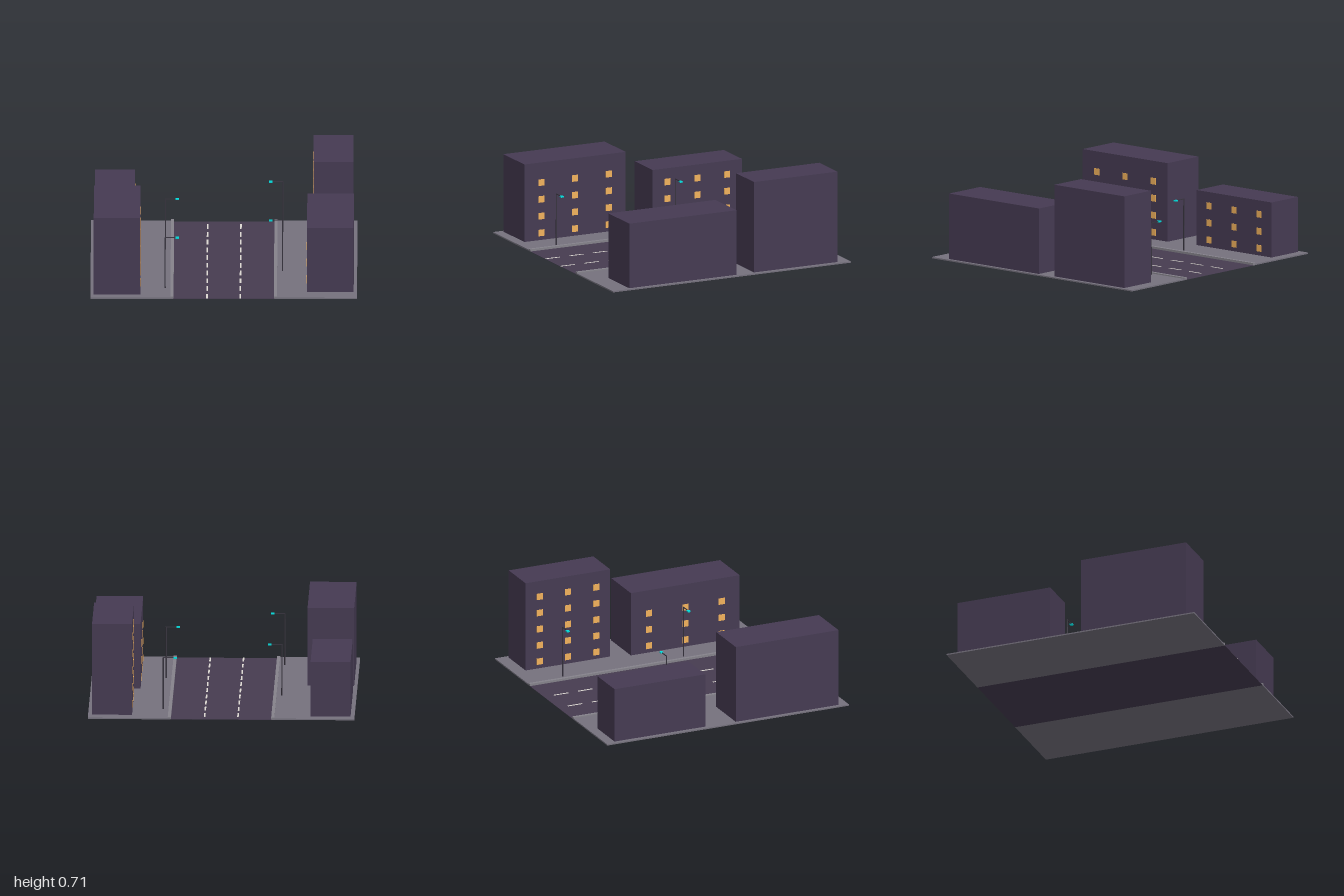
import * as THREE from 'three';

const mat = (color) => new THREE.MeshStandardMaterial({ color, flatShading: true });
const M = {
  road: mat(0x463c50),
  pavement: mat(0x75717d),
  curb: mat(0x85828b),
  wall: mat(0x453a52),
  dash: mat(0xdcd8d2),
  window: mat(0xf2b25c),
  pole: mat(0x38343f),
  lamp: mat(0x00dede),
};

// Box standing on height y, centred on x and z
function box(parent, name, material, w, h, d, x, y, z) {
  const mesh = new THREE.Mesh(new THREE.BoxGeometry(w, h, d), material);
  mesh.name = name;
  mesh.position.set(x, y + h / 2, z);
  parent.add(mesh);
  return mesh;
}

// Building block with a grid of lit windows facing the road
function building({ x, z, w, h, d, rows }) {
  const g = new THREE.Group();
  g.name = 'building';
  box(g, 'buildingBlock', M.wall, w, h, d, 0, 0, 0);
  const side = -Math.sign(x);
  for (let r = 0; r < rows; r++) {
    for (let c = -1; c <= 1; c++) {
      box(g, 'window', M.window, 0.004, 0.05, 0.05,
        side * (w / 2 + 0.001), 0.03 + r * 0.13, c * d / 3);
    }
  }
  g.position.set(x, 0.01, z);
  return g;
}

// Street lamp on the given side, its arm reaching over the road
function streetLamp(side, z) {
  const g = new THREE.Group();
  g.name = 'streetLamp';
  const pole = new THREE.Mesh(new THREE.CylinderGeometry(0.004, 0.005, 0.395, 8), M.pole);
  pole.name = 'lampPole';
  pole.position.set(side * 0.44, 0.2075, 0);
  g.add(pole);
  box(g, 'lampArm', M.pole, 0.09, 0.006, 0.006, side * 0.397, 0.402, 0);
  box(g, 'lampHead', M.lamp, 0.026, 0.01, 0.022, side * 0.35, 0.399, 0);
  g.position.z = z;
  return g;
}

export function createModel() {
  const city = new THREE.Group();
  city.name = 'cityStreet';

  // Road, pavements and curbs
  box(city, 'road', M.road, 0.76, 0.002, 2, 0, 0, 0);
  for (const s of [-1, 1]) {
    box(city, 'pavement', M.pavement, 0.62, 0.01, 2, s * 0.69, 0, 0);
    box(city, 'curb', M.curb, 0.024, 0.018, 2, s * 0.388, 0.001, 0);

    // Dashed lane markings
    for (let i = 0; i < 10; i++) {
      box(city, 'laneDash', M.dash, 0.012, 0.002, 0.12, s * 0.125, 0.002, -0.86 + i * 0.2);
    }
  }

  // Buildings
  [
    { x: -0.8, z: 0.5, w: 0.35, h: 0.6, d: 0.85, rows: 4 },
    { x: -0.82, z: -0.55, w: 0.3, h: 0.42, d: 0.75, rows: 3 },
    { x: 0.82, z: -0.55, w: 0.3, h: 0.7, d: 0.7, rows: 5 },
    { x: 0.8, z: 0.4, w: 0.35, h: 0.5, d: 0.9, rows: 3 },
  ].forEach((b) => city.add(building(b)));

  // Street lamps, staggered along both sides
  [[-1, -0.25], [-1, 0.75], [1, -0.7], [1, 0.3]].forEach(([s, z]) => city.add(streetLamp(s, z)));

  return city;
}
